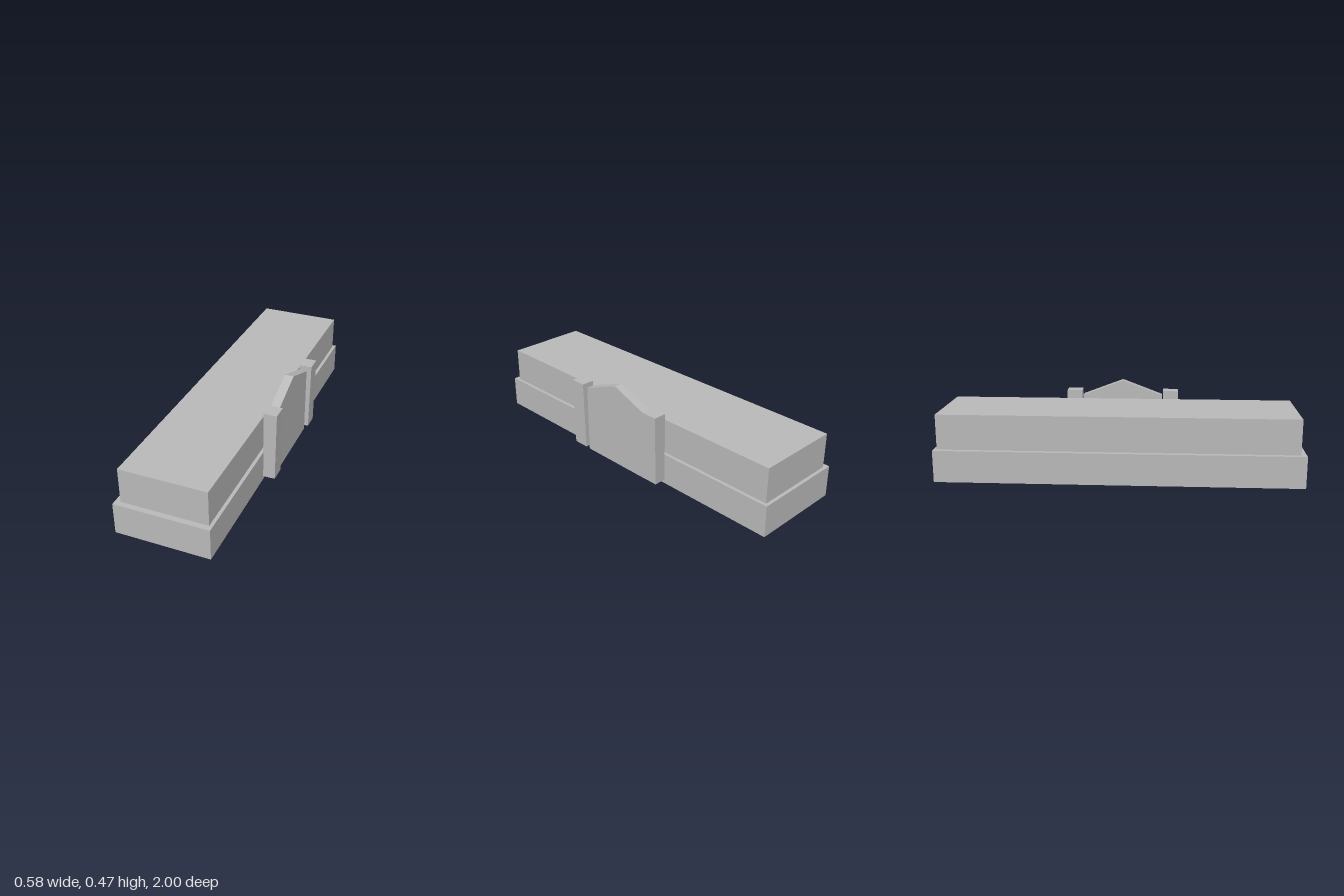
import * as THREE from 'three';

const plainGrey = new THREE.MeshStandardMaterial({ color: 0xb8b8b8, side: THREE.DoubleSide });

// Box given by its limits, with the underside left open
function openBox(name, [x0, x1], [y0, y1], [z0, z1]) {
  const geometry = new THREE.BoxGeometry(x1 - x0, y1 - y0, z1 - z0);
  const index = Array.from(geometry.index.array);
  index.splice(18, 6); // the -y face
  geometry.setIndex(index);
  geometry.clearGroups();
  geometry.translate((x0 + x1) / 2, (y0 + y1) / 2, (z0 + z1) / 2);
  const mesh = new THREE.Mesh(geometry, plainGrey);
  mesh.name = name;
  return mesh;
}

// Pillar that flares very slightly outwards in x and narrows in z towards its top
function makePillar(name, z0, z1) {
  const mesh = openBox(name, [0.22, 0.288], [0.02, 0.414], [z0, z1]);
  const p = mesh.geometry.attributes.position;
  const mid = (z0 + z1) / 2;
  for (let i = 0; i < p.count; i++) {
    if (p.getY(i) < 0.2) continue;
    if (p.getX(i) > 0.25) p.setX(i, 0.292);
    p.setZ(i, mid + (p.getZ(i) - mid) * 0.96);
  }
  mesh.geometry.computeVertexNormals();
  return mesh;
}

// Pointed slab with an open underside
function makeGable() {
  const [back, front] = [0.217, 0.267];
  const outline = [[0.23, 0], [0.23, 0.388], [0, 0.475], [-0.23, 0.388], [-0.23, 0]];
  const points = [];
  const quad = (a, b, c, d) => points.push(...a, ...b, ...c, ...a, ...c, ...d);
  // Side walls and roof slopes
  for (let i = 0; i < outline.length - 1; i++) {
    const [z0, y0] = outline[i];
    const [z1, y1] = outline[i + 1];
    quad([back, y0, z0], [front, y0, z0], [front, y1, z1], [back, y1, z1]);
  }
  // Broad faces
  const at = (x, i) => [x, outline[i][1], outline[i][0]];
  for (let i = 1; i < outline.length - 1; i++) {
    points.push(...at(front, 0), ...at(front, i + 1), ...at(front, i));
    points.push(...at(back, 0), ...at(back, i), ...at(back, i + 1));
  }
  const geometry = new THREE.BufferGeometry();
  geometry.setAttribute('position', new THREE.Float32BufferAttribute(points, 3));
  geometry.computeVertexNormals();
  const mesh = new THREE.Mesh(geometry, plainGrey);
  mesh.name = 'gable';
  return mesh;
}

export function createModel() {
  const model = new THREE.Group();
  model.name = 'steppedBlock';
  model.add(
    openBox('lowerBlock', [-0.293, 0.222], [0, 0.176], [-1, 1]),
    openBox('upperBlock', [-0.265, 0.204], [0.176, 0.37], [-0.982, 0.97]),
    makeGable(),
    makePillar('frontPillar', 0.233, 0.324),
    makePillar('backPillar', -0.328, -0.237),
  );
  // Flip the gable's broad faces to point outwards
  const gable = model.getObjectByName('gable').geometry.attributes.position;
  const a = new THREE.Vector3(), b = new THREE.Vector3(), c = new THREE.Vector3();
  const centre = new THREE.Vector3(0.242, 0.2, 0);
  for (let i = 0; i < gable.count; i += 3) {
    a.fromBufferAttribute(gable, i);
    b.fromBufferAttribute(gable, i + 1);
    c.fromBufferAttribute(gable, i + 2);
    const normal = b.clone().sub(a).cross(c.clone().sub(a));
    if (normal.dot(a.clone().sub(centre)) < 0) {
      gable.setXYZ(i + 1, c.x, c.y, c.z);
      gable.setXYZ(i + 2, b.x, b.y, b.z);
    }
  }
  model.getObjectByName('gable').geometry.computeVertexNormals();
  return model;
}
